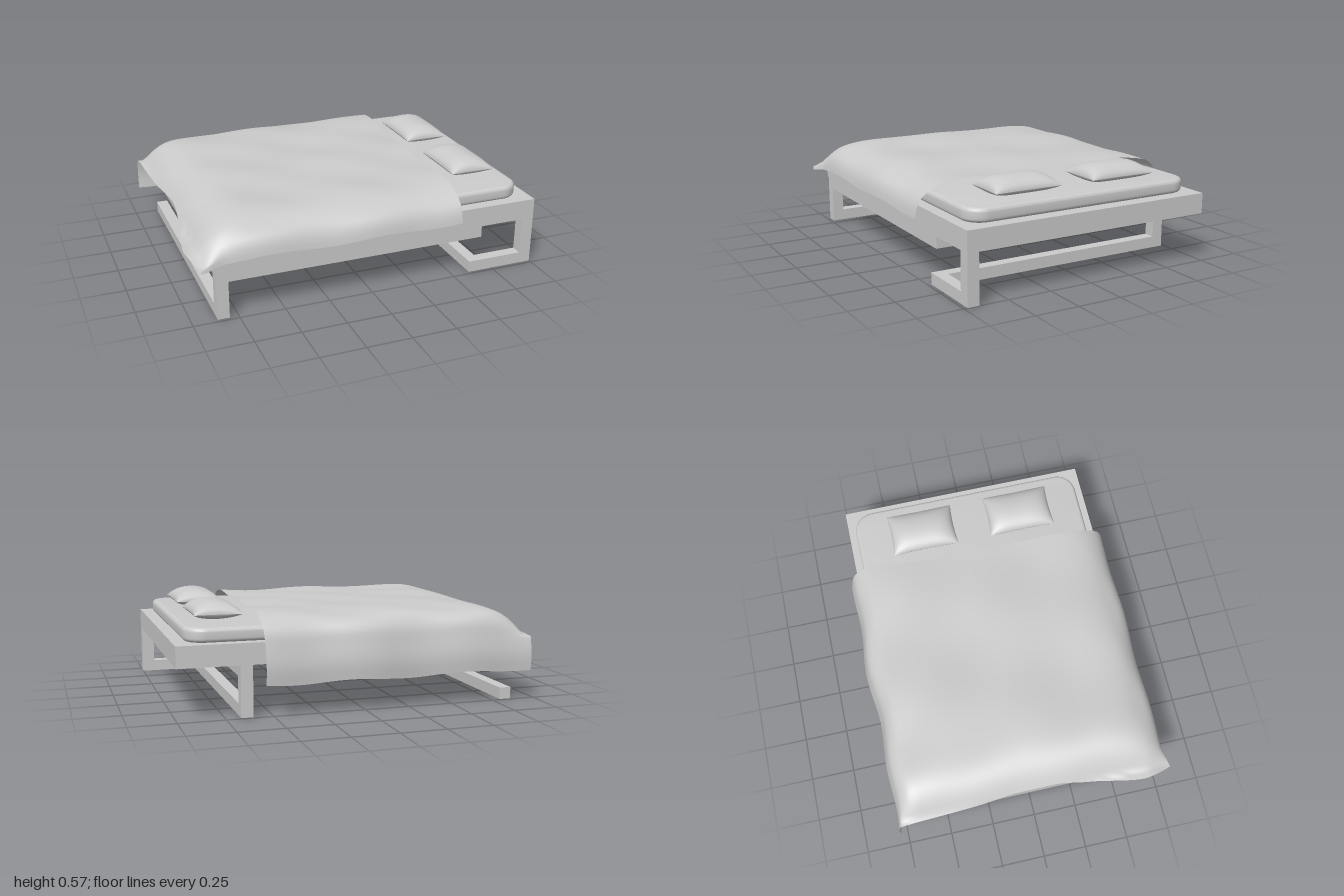
import * as THREE from 'three';
import { toCreasedNormals } from 'three/addons/utils/BufferGeometryUtils.js';

const grey = new THREE.MeshStandardMaterial({ color: 0xcccccc });
const cloth = new THREE.MeshStandardMaterial({ color: 0xcccccc, side: THREE.DoubleSide });

function add(parent, name, geometry, material = grey) {
  const mesh = new THREE.Mesh(geometry, material);
  mesh.name = name;
  parent.add(mesh);
  return mesh;
}

// Box given by its lower and upper corner
function bar(parent, name, [x0, y0, z0], [x1, y1, z1]) {
  const g = new THREE.BoxGeometry(x1 - x0, y1 - y0, z1 - z0);
  g.translate((x0 + x1) / 2, (y0 + y1) / 2, (z0 + z1) / 2);
  return add(parent, name, g);
}

// Smooth sheet: fn(u, v) returns [x, y, z] for u, v in 0..1
function sheet(nu, nv, fn) {
  const g = new THREE.PlaneGeometry(1, 1, nu, nv);
  const p = g.attributes.position;
  for (let i = 0; i < p.count; i++) p.setXYZ(i, ...fn(p.getX(i) + 0.5, 0.5 - p.getY(i)));
  g.computeVertexNormals();
  return g;
}

// Piecewise curve through a few [a, b] points
const curve = (pts) =>
  new THREE.CatmullRomCurve3(pts.map(([a, b]) => new THREE.Vector3(a, b, 0)), false, 'centripetal');

function createMattress() {
  const b = 0.022, r = 0.09;
  const x0 = -0.83 + b, x1 = 0.94 - b, z0 = -0.68 + b, z1 = 0.69 - b;
  const s = new THREE.Shape();
  s.moveTo(x0 + r, z0);
  s.lineTo(x1 - r, z0).absarc(x1 - r, z0 + r, r, -Math.PI / 2, 0);
  s.lineTo(x1, z1 - r).absarc(x1 - r, z1 - r, r, 0, Math.PI / 2);
  s.lineTo(x0 + r, z1).absarc(x0 + r, z1 - r, r, Math.PI / 2, Math.PI);
  s.lineTo(x0, z0 + r).absarc(x0 + r, z0 + r, r, Math.PI, Math.PI * 1.5);
  const g = new THREE.ExtrudeGeometry(s, {
    depth: 0.077 - 2 * b, bevelSize: b, bevelThickness: b, bevelSegments: 5, curveSegments: 10,
  });
  g.rotateX(-Math.PI / 2).translate(0, 0.39 + b, 0);
  return toCreasedNormals(g, 0.6);
}

// Half of a pillow; height is positive for the top, negative for the bottom
function pillowHalf(height) {
  const flip = Math.sign(height);
  return sheet(20, 24, (u, v) => {
    const a = -Math.cos(u * Math.PI) * flip, b = -Math.cos(v * Math.PI);
    const puff = Math.sqrt(Math.max(0, (1 - a * a) * (1 - b ** 4)));
    return [
      a * 0.13 * (1 - 0.05 * (1 - b * b)),
      height * puff,
      b * 0.196 * (1 - 0.04 * (1 - a * a)),
    ];
  });
}

function createDuvet() {
  // Cross-section (z, y), long drop at the back and short drop at the front
  const section = curve([
    [-0.78, 0.17], [-0.785, 0.26], [-0.77, 0.36], [-0.745, 0.45], [-0.69, 0.498], [-0.6, 0.515],
    [-0.3, 0.522], [0, 0.524], [0.3, 0.52], [0.6, 0.507], [0.68, 0.482], [0.74, 0.438],
    [0.765, 0.39], [0.775, 0.34],
  ]);
  // Outlines of the foot and head edges (z, x)
  const foot = curve([[-0.8, -0.965], [-0.6, -0.955], [-0.35, -0.945], [0.05, -0.918],
    [0.35, -0.95], [0.66, -0.998], [0.8, -0.945]]);
  const head = curve([[-0.8, 0.545], [-0.68, 0.555], [-0.4, 0.53], [0, 0.522], [0.4, 0.522], [0.8, 0.52]]);
  return sheet(64, 72, (u, v) => {
    const p = section.getPointAt(v);
    const e = THREE.MathUtils.clamp((p.x + 0.8) / 1.6, 0, 1);
    const x = THREE.MathUtils.lerp(foot.getPointAt(e).y, head.getPointAt(e).y, u);
    let z = p.x, y = p.y;
    // Sag over the foot of the bed
    const k = THREE.MathUtils.clamp((-0.55 - x) / 0.39, 0, 1) ** 4;
    y += (Math.min(y, 0.36) - y) * k;
    // Soft folds on top, waves in the hanging sides
    const hang = THREE.MathUtils.smoothstep(Math.abs(z), 0.66, 0.77);
    y += (1 - hang) * 0.005 * (Math.sin(9 * x + 4 * z) + Math.sin(13 * z - 5 * x + 1) * Math.cos(6 * x));
    const wave = Math.sin(11 * x + 1.9) * 0.6 + Math.sin(5 * x + 1.2) * 0.5;
    z += Math.sign(z) * hang * 0.013 * wave * (z < 0 ? 1.2 : 0.5);
    y += hang * 0.008 * Math.sin(10 * x + 1);
    // Flared front foot corner
    if (z > 0) {
      const corner = hang * THREE.MathUtils.smoothstep(-x, 0.82, 0.96);
      z += 0.025 * corner;
      y -= 0.02 * corner;
    }
    return [x, y, z];
  });
}

export function createModel() {
  const bed = new THREE.Group();
  bed.name = 'bed';

  // Platform carried by one continuous folded square rail
  const frame = new THREE.Group();
  frame.name = 'frame';
  bed.add(frame);
  const back = -0.735, front = 0.73, t = 0.065;
  bar(frame, 'platform', [-0.88, 0.275, back], [1, 0.39, front]);
  bar(frame, 'footFloorBar', [-0.865, 0, back], [-0.8, t, front]);
  bar(frame, 'footLeg', [-0.865, t, front - t], [-0.8, 0.275, front]);
  bar(frame, 'sideRail', [-0.8, 0.21, front - t], [0.605, 0.275, front]);
  bar(frame, 'crossRail', [0.605, 0.21, back], [0.67, 0.275, front]);
  bar(frame, 'backLeg', [0.605, t, back], [0.67, 0.21, back + t]);
  bar(frame, 'headFloorBar', [0.605, 0, back], [0.67, t, front]);
  bar(frame, 'sideFloorBar', [0.67, 0, front - t], [1, t, front]);
  bar(frame, 'headLeg', [0.93, t, front - t], [1, 0.275, front]);

  // Bedding
  add(bed, 'mattress', createMattress());
  add(bed, 'duvet', createDuvet(), cloth);
  for (const [name, z] of [['backPillow', -0.295], ['frontPillow', 0.295]]) {
    const pillow = new THREE.Group();
    pillow.name = name;
    pillow.position.set(0.73, 0.505, z);
    add(pillow, 'pillowTop', pillowHalf(0.065), cloth);
    add(pillow, 'pillowBottom', pillowHalf(-0.035), cloth);
    bed.add(pillow);
  }
  return bed;
}
